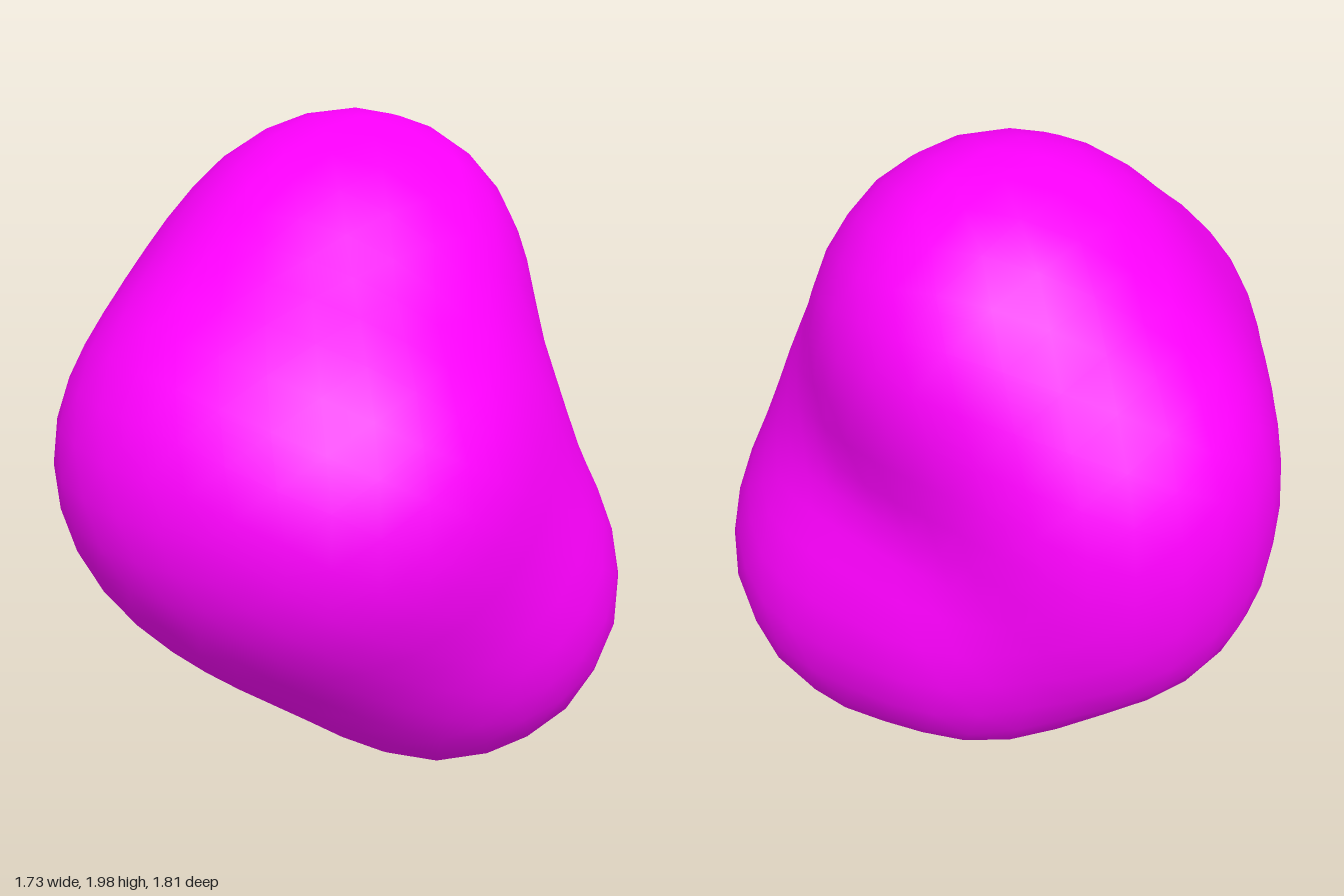
import * as THREE from 'three';
import { mergeVertices } from 'three/addons/utils/BufferGeometryUtils.js';

// Overlapping lobes of the lump: centre x, y, z and radius
const LOBES = [
  [0.10, 1.44, 0.02, 0.49],   // crown, middle
  [0.27, 1.48, -0.10, 0.47],  // crown, peak
  [-0.08, 1.26, 0.06, 0.44],  // shoulder between crown and front bulge
  [-0.20, 1.07, 0.37, 0.51],  // front bulge
  [-0.33, 1.09, 0.08, 0.52],  // side bulge
  [-0.03, 1.12, -0.22, 0.45], // fill between side and back bulges
  [-0.12, 0.85, 0.10, 0.48],  // fill of the sloping underside
  [0.22, 1.18, -0.44, 0.43],  // back bulge, upper
  [0.21, 0.88, -0.43, 0.43],  // back bulge, lower
  [0.17, 1.05, 0.22, 0.45],   // fill between crown and foot
  [0.03, 0.75, 0.35, 0.46],   // bridge from front bulge to foot
  [0.41, 0.62, 0.22, 0.40],   // foot, side
  [0.27, 0.59, 0.40, 0.44],   // foot, front
  [0.26, 0.48, 0.28, 0.43],   // foot, bottom
  [0.38, 0.67, -0.13, 0.43],  // foot, rear
];
const BLEND = 0.09;
const CENTRE = new THREE.Vector3(0.05, 1, 0);

// Smooth union of all lobes: negative inside
function field(p) {
  let sum = 0;
  for (const [x, y, z, r] of LOBES) {
    const d = Math.hypot(p.x - x, p.y - y, p.z - z) - r;
    sum += Math.exp(-d / BLEND);
  }
  return -BLEND * Math.log(sum);
}

// Push each point of a sphere out to the blended surface
function blobGeometry(detail) {
  let geo = new THREE.IcosahedronGeometry(1, detail);
  geo.deleteAttribute('normal');
  geo.deleteAttribute('uv');
  geo = mergeVertices(geo, 1e-4);
  const pos = geo.attributes.position;
  const dir = new THREE.Vector3();
  const p = new THREE.Vector3();
  for (let i = 0; i < pos.count; i++) {
    dir.fromBufferAttribute(pos, i).normalize();
    let near = 0, far = 1.8;
    for (let n = 0; n < 24; n++) {
      const mid = (near + far) / 2;
      p.copy(CENTRE).addScaledVector(dir, mid);
      if (field(p) < 0) near = mid; else far = mid;
    }
    pos.setXYZ(i, p.x, p.y, p.z);
  }
  geo.computeVertexNormals();
  return geo;
}

export function createModel() {
  const group = new THREE.Group();
  group.name = 'lump';
  const body = new THREE.Mesh(
    blobGeometry(7),
    new THREE.MeshStandardMaterial({ color: 0xff00ff })
  );
  body.name = 'blobBody';
  group.add(body);
  return group;
}
